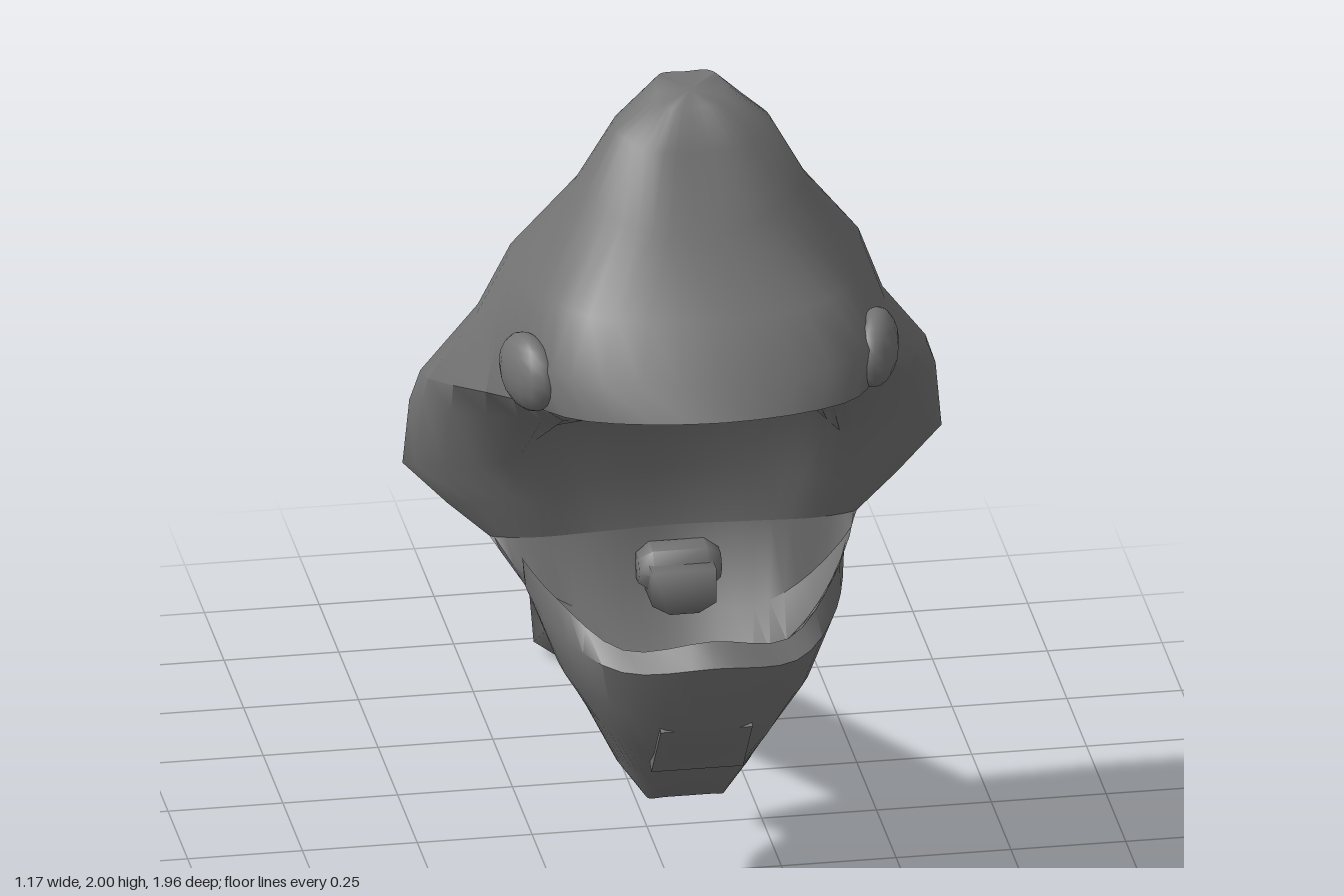
import * as THREE from 'three';
import { toCreasedNormals } from 'three/addons/utils/BufferGeometryUtils.js';

const mat = new THREE.MeshStandardMaterial({ color: 0x747474 });
const SEG = 40;

// Half sections: back centre (y,z), then back, side, cheek and front points (x,y,z), then front centre (y,z)
// Crown, brow and upper lip
const CROWN = [
  [2.0, .48, .05, 2.0, .48, .07, 2.0, .52, .07, 1.98, .58, .05, 1.98, .62, 1.98, .62],
  [1.92, .45, .11, 1.92, .46, .165, 1.92, .53, .165, 1.92, .60, .10, 1.9, .67, 1.9, .68],
  [1.77, .385, .15, 1.77, .39, .245, 1.77, .50, .24, 1.77, .60, .14, 1.74, .70, 1.72, .73],
  [1.58, .335, .22, 1.58, .33, .37, 1.6, .43, .355, 1.58, .62, .26, 1.58, .79, 1.58, .86],
  [1.43, .31, .28, 1.43, .295, .43, 1.43, .36, .405, 1.43, .62, .31, 1.46, .84, 1.46, .94],
  [1.3, .30, .36, 1.3, .268, .55, 1.27, .33, .40, 1.33, .64, .28, 1.375, .88, 1.395, .98],
];

// Mouth roof, cheeks and the thin wall at the back of the mouth
const MOUTH = [
  [1.18, .30, .43, 1.18, .262, .573, 1.2, .325, .37, 1.23, .53, .21, 1.31, .74, 1.31, .78],
  [1.05, .30, .44, 1.05, .265, .587, 1.05, .32, .38, 1.08, .42, .25, 1.2, .46, 1.26, .50],
  [.95, .305, .34, .95, .285, .49, .95, .325, .34, .97, .395, .20, 1.0, .385, 1.02, .375],
  [.87, .31, .25, .87, .31, .40, .87, .335, .31, .875, .37, .17, .88, .375, .88, .365],
];

// Inside of the jaw bowl, its rim, then the outside down to the chin
const JAW = [
  [.80, .295, .22, .80, .30, .39, .865, .36, .29, .76, .40, .16, .70, .42, .70, .38],
  [.74, .287, .20, .74, .29, .375, .868, .39, .28, .72, .50, .14, .62, .54, .60, .52],
  [.68, .285, .19, .68, .29, .36, .868, .43, .28, .78, .58, .16, .71, .68, .70, .74],
  [.62, .285, .18, .62, .29, .35, .87, .46, .305, .84, .60, .18, .77, .75, .81, .825],
  [.58, .286, .175, .58, .29, .34, .80, .43, .31, .77, .61, .19, .74, .80, .77, .88],
  [.50, .29, .15, .50, .30, .275, .64, .42, .26, .62, .58, .17, .61, .73, .60, .80],
  [.43, .31, .12, .43, .31, .205, .50, .42, .19, .50, .54, .13, .49, .66, .48, .70],
  [.36, .38, .10, .36, .39, .145, .38, .45, .13, .38, .52, .09, .39, .57, .39, .575],
  [.30, .46, .06, .30, .46, .085, .30, .48, .08, .30, .50, .05, .31, .52, .31, .52],
];

// Mirrors a half section and rounds it into a closed ring
function ring(s) {
  const half = [2, 5, 8, 11].map(i => new THREE.Vector3(s[i], s[i + 1], s[i + 2]));
  const mirrored = half.map(p => new THREE.Vector3(-p.x, p.y, p.z)).reverse();
  const pts = [new THREE.Vector3(0, s[0], s[1]), ...half, new THREE.Vector3(0, s[14], s[15]), ...mirrored];
  const curve = new THREE.CatmullRomCurve3(pts, true, 'centripetal');
  return Array.from({ length: SEG }, (_, j) => curve.getPoint(j / SEG));
}

// Skins a run of rings, closing the chosen ends with fans
function loft(sections, capStart, capEnd) {
  const rings = sections.map(ring), pos = [], idx = [];
  rings.forEach(r => r.forEach(p => pos.push(p.x, p.y, p.z)));
  for (let i = 0; i < rings.length - 1; i++) {
    for (let j = 0; j < SEG; j++) {
      const a = i * SEG + j, b = i * SEG + (j + 1) % SEG;
      idx.push(a, b, a + SEG, b, b + SEG, a + SEG);
    }
  }
  const cap = (i, flip) => {
    const c = rings[i].reduce((m, p) => m.add(p), new THREE.Vector3()).divideScalar(SEG);
    const n = pos.length / 3;
    pos.push(c.x, c.y, c.z);
    for (let j = 0; j < SEG; j++) {
      const a = i * SEG + j, b = i * SEG + (j + 1) % SEG;
      flip ? idx.push(n, a, b) : idx.push(n, b, a);
    }
  };
  if (capStart) cap(0, false);
  if (capEnd) cap(rings.length - 1, true);
  const g = new THREE.BufferGeometry();
  g.setAttribute('position', new THREE.Float32BufferAttribute(pos, 3));
  g.setIndex(idx);
  return toCreasedNormals(g, 0.95);
}

// Flat-topped bar with chamfered lower corners and soft shading, running from a to b
function bar(a, b, w, h) {
  const shape = new THREE.Shape([[-w, h], [-w, -h * .55], [-w * .45, -h], [w * .45, -h], [w, -h * .55], [w, h]]
    .map(p => new THREE.Vector2(...p)));
  const g = new THREE.ExtrudeGeometry(shape, { depth: a.distanceTo(b), bevelEnabled: false });
  const m = new THREE.Mesh(toCreasedNormals(g, 1.65), mat);
  m.position.copy(a);
  m.lookAt(b);
  return m;
}

// Six-sided pin across the model with tapered ends
function pin(half, r, y, z) {
  const profile = [[0, -half], [r * .6, -half], [r, -half + .03], [r, half - .03], [r * .6, half], [0, half]]
    .map(p => new THREE.Vector2(...p));
  const m = new THREE.Mesh(toCreasedNormals(new THREE.LatheGeometry(profile, 6), 1.1), mat);
  m.rotation.z = Math.PI / 2;
  m.position.set(0, y, z);
  return m;
}

export function createModel() {
  const model = new THREE.Group();
  const add = (mesh, name) => { mesh.name = name; model.add(mesh); return mesh; };
  const v = (x, y, z) => new THREE.Vector3(x, y, z);

  add(new THREE.Mesh(loft([...CROWN, ...MOUTH], true, false), mat), 'upperHead');
  add(new THREE.Mesh(loft([MOUTH.at(-1), ...JAW], false, true), mat), 'lowerJaw');

  // Rounded knobs sunk into the sides of the brow
  for (const s of [1, -1]) {
    const knob = add(new THREE.Mesh(new THREE.SphereGeometry(1, 14, 10), mat), s > 0 ? 'leftBrowKnob' : 'rightBrowKnob');
    knob.scale.set(.05, .085, .10);
    knob.position.set(s * .378, 1.42, .70);
    knob.rotation.y = -s * 0.3;
  }

  // Shallow pad on the chin
  const pad = add(new THREE.Mesh(new THREE.BoxGeometry(.2, .19, .04), mat), 'chinPad');
  pad.position.set(0, .513, .686);
  pad.rotation.x = .69;

  // Handle with its cross pin, and the stub and pin inside the mouth
  add(bar(v(0, .07, -.94), v(0, .833, .31), .09, .078), 'handle');
  add(pin(.155, .063, .81, .24), 'crossPin');
  add(bar(v(0, .77, .27), v(0, .77, .48), .07, .05), 'mouthStub');
  add(pin(.09, .055, .80, .40), 'mouthPin');

  return model;
}
